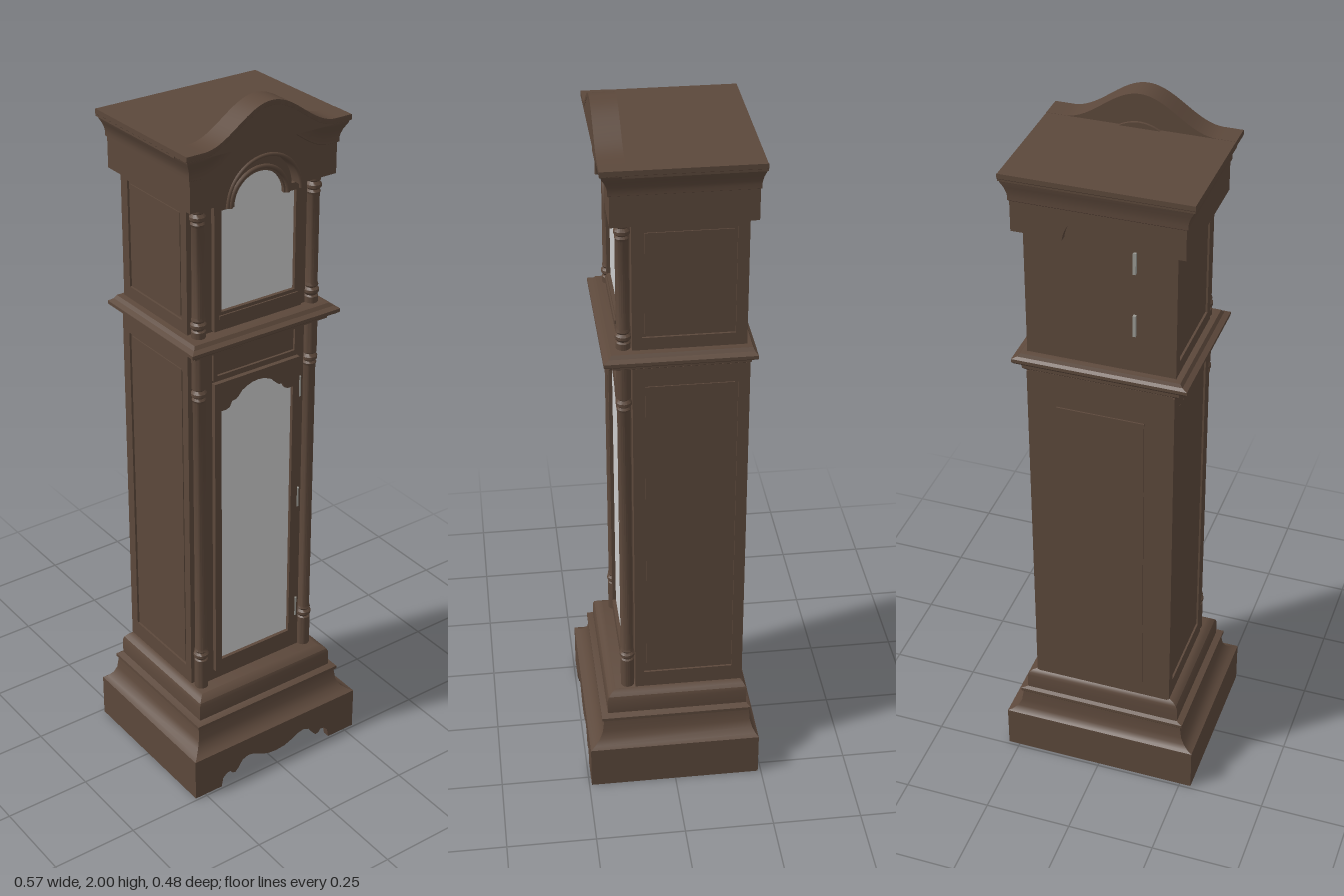
import * as THREE from 'three';
import { toCreasedNormals } from 'three/addons/utils/BufferGeometryUtils.js';

const material = (name, color) => {
  const m = new THREE.MeshStandardMaterial({ color });
  m.name = name;
  return m;
};

export function createModel() {
  const wood = material('dark wood', 0x5c483b);
  const glass = material('pale glass', 0xcccccc);
  const metal = material('hinge metal', 0x9a9a94);
  const model = new THREE.Group();
  model.name = 'longcaseClock';

  const add = (name, geo, mat = wood, parent = model) => {
    const m = new THREE.Mesh(geo, mat);
    m.name = name;
    parent.add(m);
    return m;
  };
  // Box given by its limits on each axis
  const box = (name, x0, x1, y0, y1, z0, z1, mat) => add(name,
    new THREE.BoxGeometry(x1 - x0, y1 - y0, z1 - z0)
      .translate((x0 + x1) / 2, (y0 + y1) / 2, (z0 + z1) / 2), mat);
  const plate = (name, shape, z0, z1, mat) => add(name, toCreasedNormals(
    new THREE.ExtrudeGeometry(shape, { depth: z1 - z0, bevelEnabled: false, curveSegments: 20 })
      .translate(0, 0, z0), 0.5), mat);
  const polygon = pts => new THREE.Shape(pts.map(p => new THREE.Vector2(...p)));
  const rect = (a, b, c, d) => polygon([[a, c], [b, c], [b, d], [a, d]]);
  // Right half of an outline, mirrored to the left
  const mirrored = half => polygon([...half,
    ...half.filter(p => p[0] > 0).reverse().map(([x, y]) => [-x, y])]);

  // Rectangular moulding from [projection, height] pairs; the front may rise in an arch
  const moulding = (name, profile, zf, arch = null) => {
    const pos = [], index = [], n = arch ? 48 : 1, count = n + 3;
    for (const [o, y] of profile) {
      const hx = 0.2 + o, back = -0.195 - o * 0.55;
      for (let i = 0; i <= n; i++) {
        const x = -hx + 2 * hx * i / n;
        pos.push(x, y + (arch ? arch(x) : 0), zf + o);
      }
      pos.push(hx, y, back, -hx, y, back);
    }
    for (let r = 0; r < profile.length - 1; r++) {
      for (let i = 0; i < count; i++) {
        const j = (i + 1) % count, a = r * count + i, b = r * count + j;
        index.push(a, b, b + count, a, b + count, a + count);
      }
    }
    if (!arch) {
      const t = (profile.length - 1) * count;
      index.push(0, 2, 1, 0, 3, 2, t, t + 1, t + 2, t, t + 2, t + 3);
    }
    const g = new THREE.BufferGeometry();
    g.setAttribute('position', new THREE.Float32BufferAttribute(pos, 3));
    g.setIndex(index);
    return add(name, toCreasedNormals(g, 0.45));
  };

  // Plinth: hollow, with a scalloped front apron
  plate('frontApron', mirrored([[0, 0.04], [0.03, 0.043], [0.055, 0.053], [0.08, 0.066], [0.1, 0.07],
    [0.12, 0.062], [0.135, 0.04], [0.145, 0.03], [0.155, 0.032], [0.162, 0.042], [0.175, 0.04],
    [0.188, 0.028], [0.193, 0], [0.283, 0], [0.283, 0.127]]), 0.223, 0.243);
  box('backApron', -0.283, 0.283, 0, 0.127, -0.241, -0.221);
  for (const s of [-1, 1]) {
    box('sideApron', s * 0.273 - 0.01, s * 0.273 + 0.01, 0, 0.127, -0.221, 0.223);
  }
  moulding('plinthMoulding', [[0.083, 0.125], [0.083, 0.129], [0.07, 0.134], [0.055, 0.146],
    [0.045, 0.165], [0.04, 0.2], [0.046, 0.204], [0.046, 0.213], [0.028, 0.218], [0.028, 0.262],
    [0.024, 0.272], [0.015, 0.28], [0.002, 0.285]], 0.16);

  // Trunk and hood cases
  box('trunkCase', -0.194, 0.194, 0.28, 1.34, -0.2, 0.105);
  box('trunkFront', -0.16, 0.16, 0.28, 1.34, 0.1, 0.125);
  box('trunkBackPanel', -0.12, 0.12, 0.33, 1.24, -0.204, -0.199);
  box('hoodCase', -0.194, 0.194, 1.385, 1.85, -0.19, 0.105);
  box('hoodFront', -0.16, 0.16, 1.385, 1.86, 0.1, 0.125);
  moulding('waistMoulding', [[-0.005, 1.332], [0.012, 1.343], [0.012, 1.352], [0.03, 1.359],
    [0.036, 1.364], [0.036, 1.373], [0.022, 1.379], [0.015, 1.388], [-0.005, 1.391]], 0.145);

  // Framed panels on both sides
  const sidePanel = (name, y0, y1, back, margin) => {
    const z0 = back + 0.03, z1 = 0.08;
    const frame = rect(-0.105, -back, y0, y1);
    frame.holes.push(rect(-z1, -z0, y0 + margin, y1 - margin));
    const field = rect(-z1 + 0.008, -z0 - 0.008, y0 + margin + 0.008, y1 - margin - 0.008);
    for (const s of [-1, 1]) {
      for (const [part, shape, depth] of [['Frame', frame, 0.006], ['Field', field, 0.003]]) {
        const g = new THREE.ExtrudeGeometry(shape, { depth, bevelEnabled: false });
        if (s < 0) g.translate(0, 0, -depth);
        g.rotateY(Math.PI / 2).translate(s * 0.194, 0, 0);
        add(name + part, g);
      }
    }
  };
  sidePanel('trunkSide', 0.285, 1.335, -0.2, 0.05);
  sidePanel('hoodSide', 1.39, 1.76, -0.19, 0.035);

  // Turned corner columns
  const columns = (name, y0, y1, foot) => {
    const end = [[0.019, 0], [0.019, foot - 0.02], [0.015, foot - 0.016], [0.021, foot - 0.008],
      [0.021, foot], [0.015, foot + 0.006], [0.019, foot + 0.012], [0.0165, foot + 0.02]];
    const pts = [[0, y0], ...end.map(([r, h]) => [r, y0 + h]),
      ...end.map(([r, h]) => [r, y1 - h]).reverse(), [0, y1]];
    const g = toCreasedNormals(new THREE.LatheGeometry(pts.map(p => new THREE.Vector2(...p)), 20), 0.6);
    for (const s of [-1, 1]) add(name, g).position.set(s * 0.18, 0, 0.126);
  };
  columns('trunkColumn', 0.283, 1.337, 0.115);
  columns('hoodColumn', 1.388, 1.755, 0.04);

  // Trunk door with shaped glass
  const trunkLight = () => mirrored([[0, 0.355], [0.117, 0.355], [0.117, 1.158], [0.1, 1.158],
    [0.09, 1.163], [0.083, 1.178], [0.07, 1.18], [0.062, 1.186], [0.05, 1.2], [0.035, 1.208],
    [0.018, 1.214], [0, 1.216]]);
  const door = rect(-0.138, 0.138, 0.32, 1.242);
  door.holes.push(trunkLight());
  plate('trunkDoor', door, 0.125, 0.138);
  add('trunkGlass', new THREE.ShapeGeometry(trunkLight()).translate(0, 0, 0.128), glass);
  const rail = rect(-0.138, 0.138, 1.25, 1.335);
  rail.holes.push(rect(-0.125, 0.125, 1.262, 1.325));
  plate('friezePanel', rail, 0.125, 0.132);
  for (const y of [0.43, 0.8, 1.15]) {
    add('doorHinge', new THREE.CylinderGeometry(0.004, 0.004, 0.06, 10), metal)
      .position.set(0.142, y, 0.135);
  }

  // Hood door with arched glass
  const arched = (hw, y0, ys, r) => {
    const s = new THREE.Shape();
    s.moveTo(-hw, y0);
    s.lineTo(hw, y0);
    s.lineTo(hw, ys);
    s.lineTo(r, ys);
    s.absarc(0, ys, r, 0, Math.PI, false);
    s.lineTo(-hw, ys);
    s.closePath();
    return s;
  };
  const hoodDoor = arched(0.138, 1.395, 1.745, 0.1);
  hoodDoor.holes.push(arched(0.116, 1.447, 1.725, 0.077));
  plate('hoodDoor', hoodDoor, 0.125, 0.138);
  add('hoodGlass', new THREE.ShapeGeometry(arched(0.116, 1.447, 1.725, 0.077), 20)
    .translate(0, 0, 0.128), glass);
  add('hoodArchBead', new THREE.TorusGeometry(0.088, 0.006, 8, 32, Math.PI)
    .translate(0, 1.725, 0.138));
  box('hoodSill', -0.125, 0.125, 1.428, 1.438, 0.135, 0.142);

  // Cornice fascia with arched cut-outs front and back
  const rise = x => Math.abs(x) < 0.2 ? 0.045 * (1 + Math.cos(Math.PI * x / 0.2)) : 0;
  const fascia = (name, r, top, z0, z1) => {
    const half = [];
    for (let i = 0; i <= 16; i++) {
      const a = Math.PI / 2 * (1 - i / 16);
      half.push([i ? r * Math.cos(a) : 0, 1.738 + r * Math.sin(a)]);
    }
    half.push([r, 1.75], [0.225, 1.75]);
    half.splice(16, 1);
    for (let i = 20; i >= 0; i--) half.push([0.225 * i / 20, 1.835 + top(0.225 * i / 20)]);
    plate(name, mirrored(half), z0, z1);
  };
  fascia('frontFascia', 0.108, rise, 0.11, 0.16);
  fascia('backFascia', 0.092, () => 0, -0.2088, -0.185);
  for (const s of [-1, 1]) {
    box('sideFascia', s * 0.2 - 0.025, s * 0.2 + 0.025, 1.75, 1.835, -0.2, 0.15);
  }
  add('fasciaArchTrim', new THREE.TorusGeometry(0.113, 0.005, 8, 32, Math.PI)
    .translate(0, 1.738, 0.16));

  // Crown moulding, roof and arched crest
  moulding('crownMoulding', [[0.022, 1.832], [0.029, 1.836], [0.029, 1.848], [0.031, 1.858],
    [0.036, 1.872], [0.044, 1.886], [0.046, 1.893], [0.05, 1.897], [0.05, 1.91]], 0.135, rise);
  box('roof', -0.249, 0.249, 1.89, 1.9095, -0.2215, 0.13).geometry.computeVertexNormals();
  const crest = [[0, 1.895], [0.2495, 1.895]];
  for (let i = 24; i >= 0; i--) crest.push([0.2495 * i / 24, 1.91 + rise(0.2495 * i / 24)]);
  plate('crest', mirrored(crest), 0.117, 0.1845);

  // Hinges on the back of the hood
  for (const y of [1.53, 1.71]) box('backHinge', -0.095, -0.087, y - 0.03, y + 0.03, -0.199, -0.189, metal);

  return model;
}
